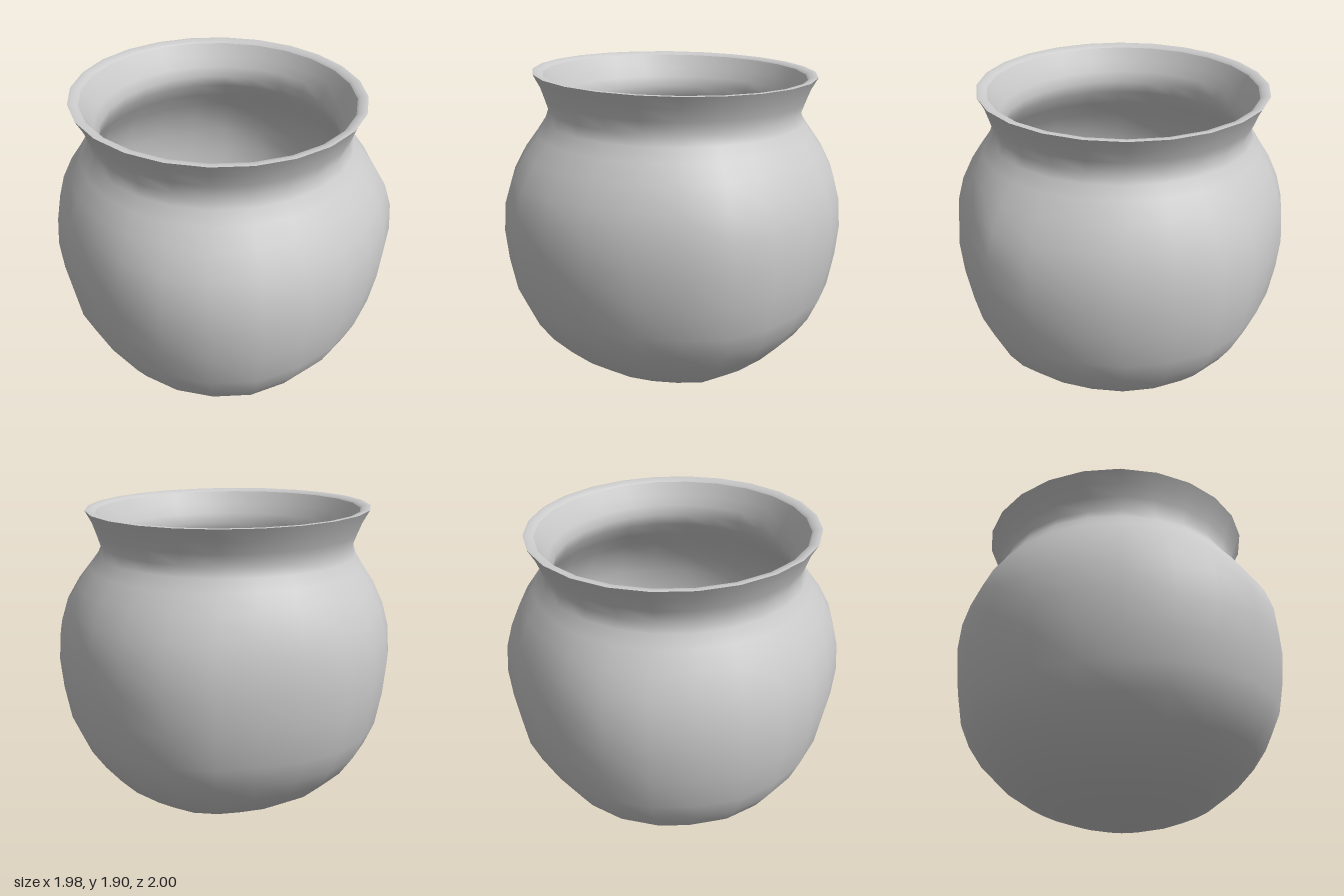
import * as THREE from 'three';
import { mergeVertices } from 'three/addons/utils/BufferGeometryUtils.js';

// Hand-made unevenness of the belly: radius factor every 15 degrees, from +x towards +z
const WOBBLE = [0.99, 1, 1.015, 1.04, 1.035, 1.02, 0.995, 0.97, 0.975, 0.985, 0.995, 0.985,
  0.99, 0.99, 0.975, 0.96, 0.985, 1.005, 1, 1, 0.995, 1.01, 1.035, 1];

function wobbleAt(angle) {
  const n = WOBBLE.length;
  const t = ((angle / (2 * Math.PI)) * n + n) % n;
  const i = Math.floor(t);
  return THREE.MathUtils.lerp(WOBBLE[i % n], WOBBLE[(i + 1) % n], t - i);
}

// Turned surface, then pushed slightly out of true
function thrownSurface(name, profile, material) {
  let geo = new THREE.LatheGeometry(profile.map(([r, y]) => new THREE.Vector2(r, y)), 24);
  geo.deleteAttribute('uv');
  geo.deleteAttribute('normal');
  geo = mergeVertices(geo, 1e-4);
  const p = geo.attributes.position;
  for (let i = 0; i < p.count; i++) {
    const x = p.getX(i), y = p.getY(i), z = p.getZ(i);
    const belly = 1 - THREE.MathUtils.smoothstep(y, 1.2, 1.66);
    const top = THREE.MathUtils.smoothstep(y, 1.5, 1.88);
    const s = 1 + (wobbleAt(Math.atan2(z, x)) - 1) * belly;
    const shift = 0.035 * Math.max(0, 1 - y / 0.3) - 0.013 * top;
    p.setXYZ(i, x * s + shift, y + 0.018 * z * top, z * s);
  }
  geo.computeVertexNormals();
  const mesh = new THREE.Mesh(geo, material);
  mesh.name = name;
  return mesh;
}

export function createModel() {
  const pot = new THREE.Group();
  pot.name = 'pot';
  const clay = new THREE.MeshStandardMaterial({ color: 0xcccccc });

  // Outside: rounded base, belly, pinched neck and flared collar
  const outside = [[0, 0], [0.18, 0.02], [0.36, 0.07], [0.55, 0.14], [0.7, 0.245], [0.81, 0.36],
    [0.89, 0.48], [0.95, 0.62], [0.985, 0.82], [1, 1], [0.985, 1.17], [0.945, 1.31],
    [0.88, 1.44], [0.81, 1.54], [0.763, 1.61], [0.742, 1.67], [0.765, 1.74], [0.79, 1.81], [0.828, 1.88]];

  // Rim: narrow flat lip sloping slightly inwards
  const lip = [[0.828, 1.88], [0.81, 1.882], [0.782, 1.875], [0.77, 1.865]];

  // Inside: collar, neck and hollow, one wall thickness in
  const inside = [[0.77, 1.865], [0.73, 1.79], [0.705, 1.73], [0.682, 1.67], [0.7, 1.6], [0.755, 1.51],
    [0.825, 1.41], [0.888, 1.29], [0.925, 1.16], [0.94, 1], [0.925, 0.83], [0.89, 0.64],
    [0.835, 0.51], [0.76, 0.4], [0.66, 0.295], [0.52, 0.2], [0.34, 0.13], [0.17, 0.08], [0, 0.06]];

  pot.add(
    thrownSurface('outerWall', outside, clay),
    thrownSurface('rimLip', lip, clay),
    thrownSurface('innerWall', inside, clay),
  );
  return pot;
}
